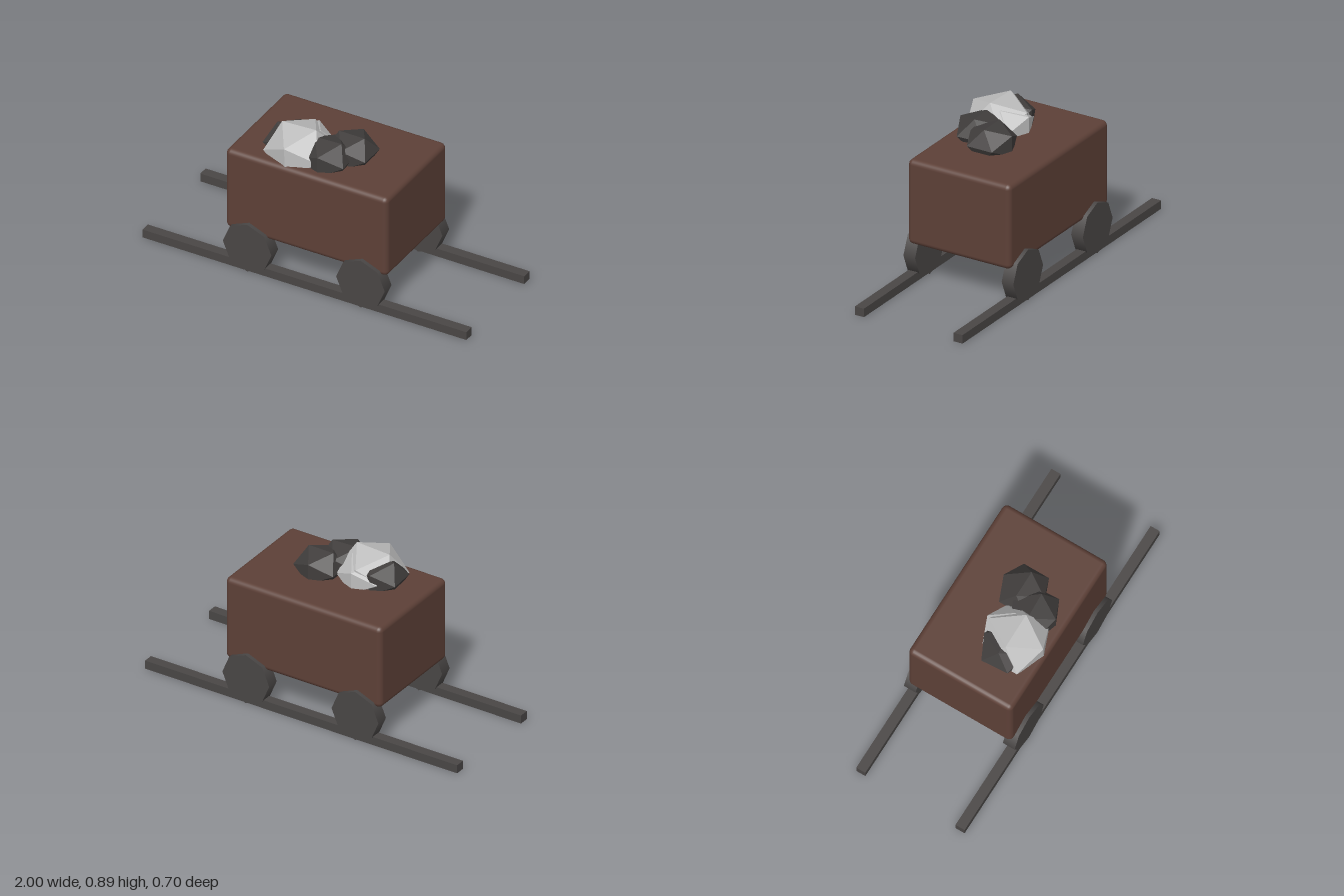
import * as THREE from 'three';
import { RoundedBoxGeometry } from 'three/addons/geometries/RoundedBoxGeometry.js';

const material = (name, color, flatShading = false) => {
  const m = new THREE.MeshStandardMaterial({ color, flatShading });
  m.name = name;
  return m;
};

export function createModel() {
  const brown = material('rust brown', 0x5d4037);
  const iron = material('iron grey', 0x494645);
  const coal = material('dark ore', 0x403d3c, true);
  const silver = material('pale ore', 0xbdbdbd, true);

  const cart = new THREE.Group();
  cart.name = 'mineCart';
  const add = (name, geometry, mat, x, y, z) => {
    const mesh = new THREE.Mesh(geometry, mat);
    mesh.name = name;
    mesh.position.set(x, y, z);
    cart.add(mesh);
    return mesh;
  };

  // Solid tub with softened edges
  add('tub', new RoundedBoxGeometry(1, 0.5, 0.65, 3, 0.03), brown, 0, 0.475, 0);

  // Rails and eight-sided wheels on both sides
  const railGeometry = new THREE.BoxGeometry(2, 0.05, 0.057);
  const wheelGeometry = new THREE.CylinderGeometry(0.15, 0.15, 0.074, 8).rotateX(Math.PI / 2);
  for (const side of [1, -1]) {
    add('rail', railGeometry, iron, 0, 0.025, side * 0.312);
    for (const end of [1, -1]) {
      add('wheel', wheelGeometry, iron, end * 0.35, 0.15, side * 0.311);
    }
  }

  // Heap of squashed ore lumps: colour, x, y, z, radius, height radius, turn, tilt
  const lumps = [
    [coal, 0.115, 0.755, 0.03, 0.15, 0.112, 0, 0],
    [coal, 0.035, 0.755, 0.145, 0.153, 0.116, 0.05, 0],
    [coal, -0.215, 0.755, 0.115, 0.15, 0.112, 0.07, 0],
    [silver, -0.14, 0.745, 0.14, 0.2, 0.165, 0, 0.05],
    [silver, -0.13, 0.755, 0.08, 0.153, 0.116, 0, 0],
  ];
  const lumpGeometry = new THREE.IcosahedronGeometry(1, 0);
  for (const [mat, x, y, z, radius, height, turn, tilt] of lumps) {
    const lump = add('oreLump', lumpGeometry, mat, x, y, z);
    lump.scale.set(radius, height, radius);
    lump.rotation.set(0, turn, tilt);
  }
  return cart;
}
